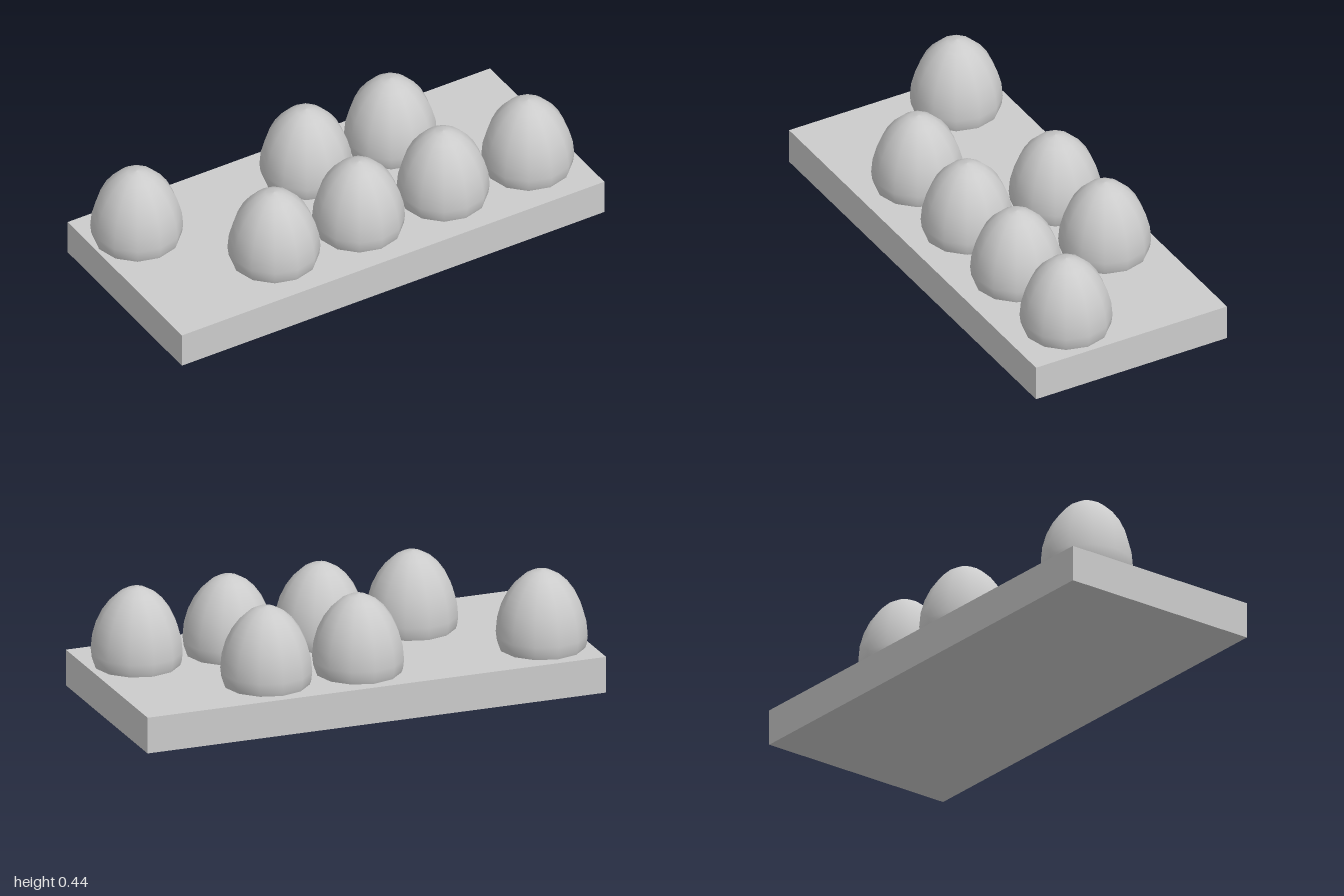
import * as THREE from 'three';

export function createModel() {
  const model = new THREE.Group();
  const material = new THREE.MeshStandardMaterial({ color: 0xcccccc });
  const trayHeight = 0.14;

  // Everything sits on a tray turned about the vertical axis
  const carton = new THREE.Group();
  carton.name = 'eggTray';
  carton.rotation.y = 0.37;
  model.add(carton);

  const tray = new THREE.Mesh(new THREE.BoxGeometry(1.825, trayHeight, 0.815), material);
  tray.name = 'tray';
  tray.position.y = trayHeight / 2;
  carton.add(tray);

  // Egg profile: rounded below, taller and more tapered above its widest ring
  const radius = 0.172, topHeight = 0.25, bottomDepth = 0.16;
  const rings = 14;
  const profile = [];
  for (let i = 0; i <= rings; i++) {
    const a = -Math.PI / 2 + (Math.PI * i) / rings;
    const s = Math.sin(a);
    const taper = s > 0 ? 1 - 0.1 * s * s : 1;
    const r = i === 0 || i === rings ? 0 : radius * Math.cos(a) * taper;
    profile.push(new THREE.Vector2(r, s * (s > 0 ? topHeight : bottomDepth)));
  }
  const eggGeometry = new THREE.LatheGeometry(profile, 12);

  // Two rows of five places, some of them empty
  const rows = [
    { z: 0.171, columns: [1, 2, 3, 4] },
    { z: -0.205, columns: [0, 2, 3] },
  ];
  for (const { z, columns } of rows) {
    for (const column of columns) {
      const egg = new THREE.Mesh(eggGeometry, material);
      egg.name = 'egg';
      egg.position.set(-0.737 + column * 0.3655, 0.19, z);
      carton.add(egg);
    }
  }
  return model;
}
